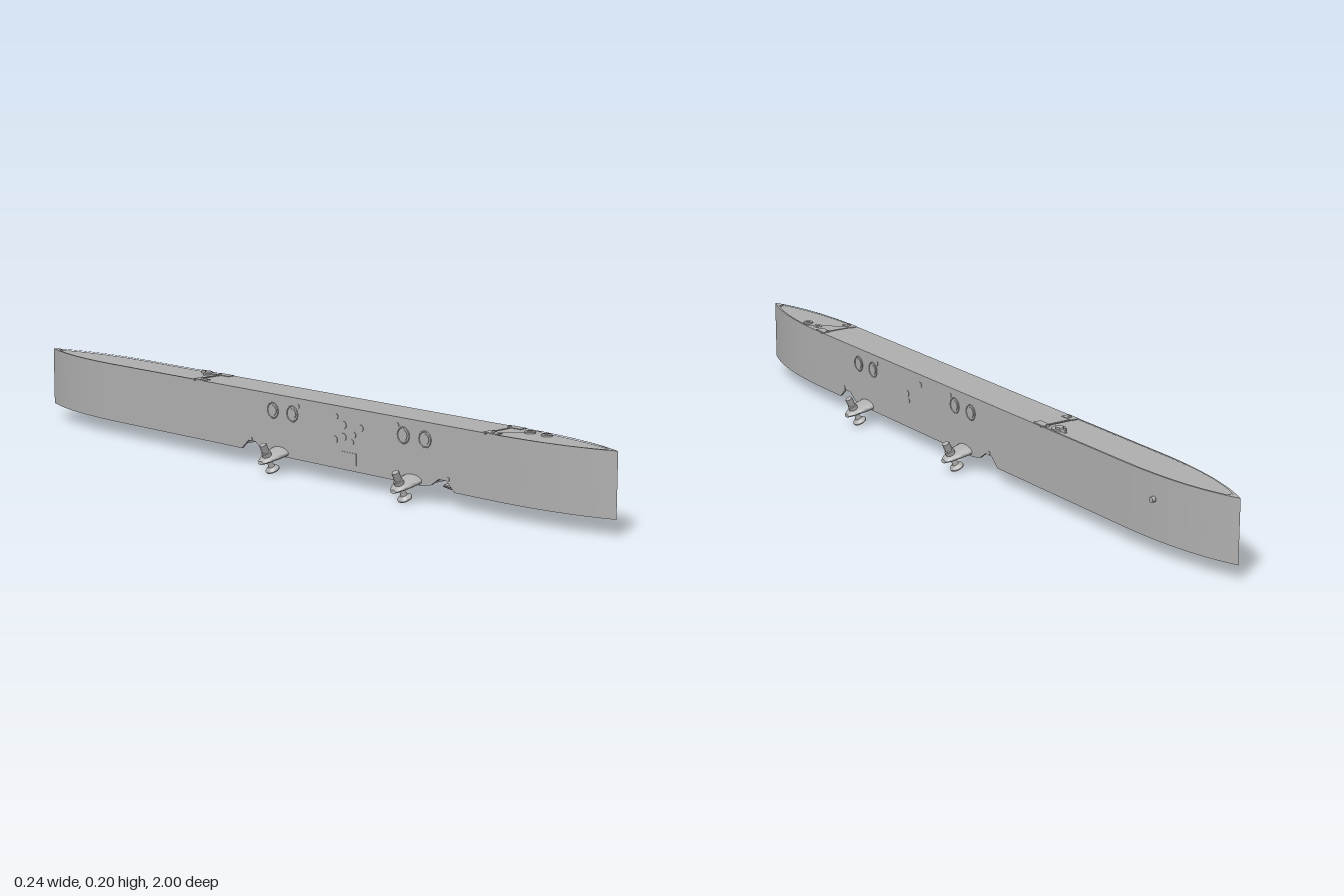
import * as THREE from 'three';
import { toCreasedNormals } from 'three/addons/utils/BufferGeometryUtils.js';

const HW = 0.055, BOTTOM = 0.04, ROOF = 0.08, DECK = 0.192, TOP = 0.195;

export function createModel() {
  const model = new THREE.Group();
  const grey = new THREE.MeshStandardMaterial({ color: 0xb0b0b0 });
  grey.name = 'light grey paint';

  function add(name, geo, parent = model, x = 0, y = 0, z = 0) {
    const mesh = new THREE.Mesh(geo, grey);
    mesh.name = name;
    mesh.position.set(x, y, z);
    parent.add(mesh);
    return mesh;
  }
  const box = (name, w, h, d, x, y, z, parent) =>
    add(name, new THREE.BoxGeometry(w, h, d), parent, x, y, z);
  const disc = (name, r, h, x, y, z, sides = 20) =>
    add(name, new THREE.CylinderGeometry(r, r, h, sides), model, x, y, z);

  // Plan outline between z = a and z = b; ends at +-1 become pointed ogives
  function plan(a, b, hw = HW, inset = 0) {
    const right = [];
    const ogive = (s) => {
      const c = new THREE.QuadraticBezierCurve(new THREE.Vector2(hw, s * 0.66),
        new THREE.Vector2(hw, s * 0.87), new THREE.Vector2(0, s * (1 - inset)));
      return c.getPoints(20);
    };
    if (a === -1) right.push(...ogive(-1).reverse());
    else right.push(new THREE.Vector2(hw, a));
    if (b === 1) right.push(...ogive(1));
    else right.push(new THREE.Vector2(hw, b));
    const left = right.filter((p) => p.x > 1e-6).reverse().map((p) => new THREE.Vector2(-p.x, p.y));
    // negate so that the upright extrusion lands on the right z
    return [...right, ...left].map((p) => new THREE.Vector2(p.x, -p.y));
  }
  function slab(name, shape, y0, y1) {
    const geo = new THREE.ExtrudeGeometry(shape, { depth: y1 - y0, bevelEnabled: false });
    geo.rotateX(-Math.PI / 2);
    return add(name, toCreasedNormals(geo, 0.4), model, 0, y0, 0);
  }

  // Main body, closed lower ends and raised centre deck
  slab('body', new THREE.Shape(plan(-1, 1)), ROOF, DECK);
  slab('frontLowerBody', new THREE.Shape(plan(0.6, 1)), BOTTOM, ROOF);
  slab('backLowerBody', new THREE.Shape(plan(-1, -0.2)), BOTTOM, ROOF);
  slab('centreDeck', new THREE.Shape(plan(-0.34, 0.655)), DECK, TOP);

  // Thin rims round the two sunken end decks
  for (const [a, b, ia, ib] of [[0.662, 1, 0.667, 1], [-1, -0.346, -1, -0.351]]) {
    const rim = new THREE.Shape(plan(a, b));
    rim.holes.push(new THREE.Path(plan(ia, ib, HW - 0.005, 0.02)));
    slab('deckRim', rim, DECK, TOP);
  }

  // Lower side walls with notches ahead of and behind the braces
  const wallPoints = [[-0.2, BOTTOM], [-0.165, BOTTOM], [-0.14, 0.064], [-0.115, 0.064], [-0.09, 0.046],
    [-0.06, BOTTOM], [0.46, BOTTOM], [0.49, 0.046], [0.515, 0.064], [0.54, 0.064], [0.565, BOTTOM],
    [0.6, BOTTOM], [0.6, ROOF], [-0.2, ROOF]];
  const wallShape = new THREE.Shape(wallPoints.map(([z, y]) => new THREE.Vector2(z, y)));
  for (const s of [-1, 1]) {
    const geo = new THREE.ExtrudeGeometry(wallShape, { depth: 0.006, bevelEnabled: false });
    geo.rotateY(-Math.PI / 2);
    add('lowerSideWall', geo, model, s > 0 ? HW : -HW + 0.006, 0, 0);
  }

  // Ribs, rails and release gear in the open belly
  for (const z of [-0.17, -0.09, 0.04, 0.12, 0.2, 0.28, 0.36, 0.5, 0.57])
    box('bellyRib', 0.1, 0.026, 0.008, 0, 0.067, z);
  for (const s of [-1, 1]) box('bellyRail', 0.006, 0.02, 0.78, s * 0.022, 0.066, 0.2);
  for (const z of [0.08, 0.32]) {
    box('releaseUnit', 0.036, 0.032, 0.05, 0, 0.062, z);
    const hook = add('releaseHook', new THREE.TorusGeometry(0.012, 0.004, 8, 16, Math.PI * 1.4),
      model, 0, 0.052, z);
    hook.rotation.y = Math.PI / 2;
  }
  disc('bellyPin', 0.003, 0.05, 0.015, 0.053, 0.25, 10);

  // Round and rectangular hatches under the ends
  for (const [x, z, r] of [[0.018, 0.67, 0.018], [-0.02, 0.71, 0.018], [0.016, 0.76, 0.016], [-0.012, 0.82, 0.014]]) {
    const ring = add('bellyHatchRing', new THREE.TorusGeometry(r, 0.002, 6, 24), model, x, BOTTOM, z);
    ring.rotation.x = Math.PI / 2;
  }
  box('bellyPanel', 0.06, 0.003, 0.12, 0, BOTTOM, -0.28);
  box('bellyPanel', 0.03, 0.003, 0.03, 0, BOTTOM, -0.59);

  // Sway braces: a drooping tapered arm with an angled screw and pad on each side
  function armGeometry() {
    const geo = new THREE.CylinderGeometry(1, 1, 0.24, 24, 28);
    geo.rotateZ(Math.PI / 2);
    const p = geo.attributes.position;
    for (let i = 0; i < p.count; i++) {
      const t = Math.abs(p.getX(i)) / 0.12;
      const centre = 0.056 - 0.025 * t * t;
      const high = 0.014 - 0.0095 * t * t * t;
      const wide = 0.033 * Math.sqrt(1 - 0.93 * t * t * t);
      p.setXYZ(i, p.getX(i), centre + p.getY(i) * high, p.getZ(i) * wide);
    }
    return toCreasedNormals(geo, 0.8);
  }
  const padProfile = [[0, 0], [0.018, 0], [0.018, 0.003], [0.009, 0.011], [0.0065, 0.02], [0.0065, 0.064], [0, 0.064]]
    .map(([r, y]) => new THREE.Vector2(r, y));
  for (const z of [-0.025, 0.43]) {
    const brace = new THREE.Group();
    brace.name = 'swayBrace';
    brace.position.z = z;
    model.add(brace);
    add('braceArm', armGeometry(), brace);
    for (const s of [-1, 1]) {
      const screw = new THREE.Group();
      screw.name = 'braceScrew';
      screw.position.set(s * 0.079, 0.0085, 0);
      screw.rotation.z = -s * 0.46;
      brace.add(screw);
      add('screwAndPad', toCreasedNormals(new THREE.LatheGeometry(padProfile, 20), 0.5), screw);
      add('screwCollar', new THREE.CylinderGeometry(0.012, 0.012, 0.014, 16), screw, 0, 0.046, 0);
      add('screwHead', new THREE.CylinderGeometry(0.0095, 0.0095, 0.022, 6), screw, 0, 0.065, 0);
      box('braceFoot', 0.02, 0.026, 0.05, s * 0.045, 0.06, 0, brace);
    }
  }

  // Side hatches and fasteners
  function sideDisc(s, z, y, r, ring) {
    const cap = disc('sideFastener', ring ? r * 0.7 : r, 0.003, s * HW, y, z);
    cap.rotation.z = Math.PI / 2;
    if (!ring) return;
    const edge = add('sideHatchRing', new THREE.TorusGeometry(r, 0.0018, 6, 28), model, s * HW, y, z);
    edge.rotation.y = Math.PI / 2;
  }
  for (const s of [-1, 1]) {
    for (const z of [0.47, 0.4, 0.02, -0.05]) sideDisc(s, z, 0.153, 0.019, true);
    for (const [z, y, r] of [[0.38, 0.175, 0.006], [0.04, 0.175, 0.006], [0.175, 0.168, 0.007],
      [0.235, 0.13, 0.008], [0.23, 0.112, 0.006], [0.545, 0.069, 0.005], [-0.13, 0.069, 0.005]])
      sideDisc(s, z, y, r, false);
  }
  for (const [z, y, r] of [[0.2, 0.15, 0.01], [0.2, 0.12, 0.01], [0.17, 0.11, 0.01], [0.26, 0.15, 0.008]])
    sideDisc(-1, z, y, r, false);
  box('accessPlate', 0.003, 0.03, 0.05, -HW, 0.07, 0.22);
  const stud = disc('sideStud', 0.007, 0.01, 0.058, 0.137, -0.77);
  stud.rotation.z = Math.PI / 2;

  // Deck tabs, studs and connectors
  for (const z of [0.67, -0.33]) {
    for (const s of [-1, 1]) box('deckTab', 0.022, 0.0025, 0.04, s * 0.042, 0.1955, z);
    disc('deckStud', 0.004, 0.008, -0.04, 0.197, z, 12);
    disc('deckStud', 0.004, 0.006, 0.04, 0.196, z - 0.02, 12);
  }
  for (const z of [0.72, 0.77]) {
    disc('deckPort', 0.013, 0.004, 0.03, 0.194, z);
    disc('deckPortCentre', 0.006, 0.007, 0.03, 0.195, z, 12);
  }
  disc('connectorBase', 0.018, 0.005, 0.03, 0.194, -0.38);
  disc('connectorPlug', 0.01, 0.01, 0.031, 0.196, -0.385, 12);
  box('connectorLever', 0.006, 0.008, 0.03, 0.034, 0.197, -0.4);

  // Small tip plates
  for (const s of [-1, 1]) box('tipPlate', 0.008, 0.003, 0.02, 0, 0.1935, s * 0.975);
  return model;
}
